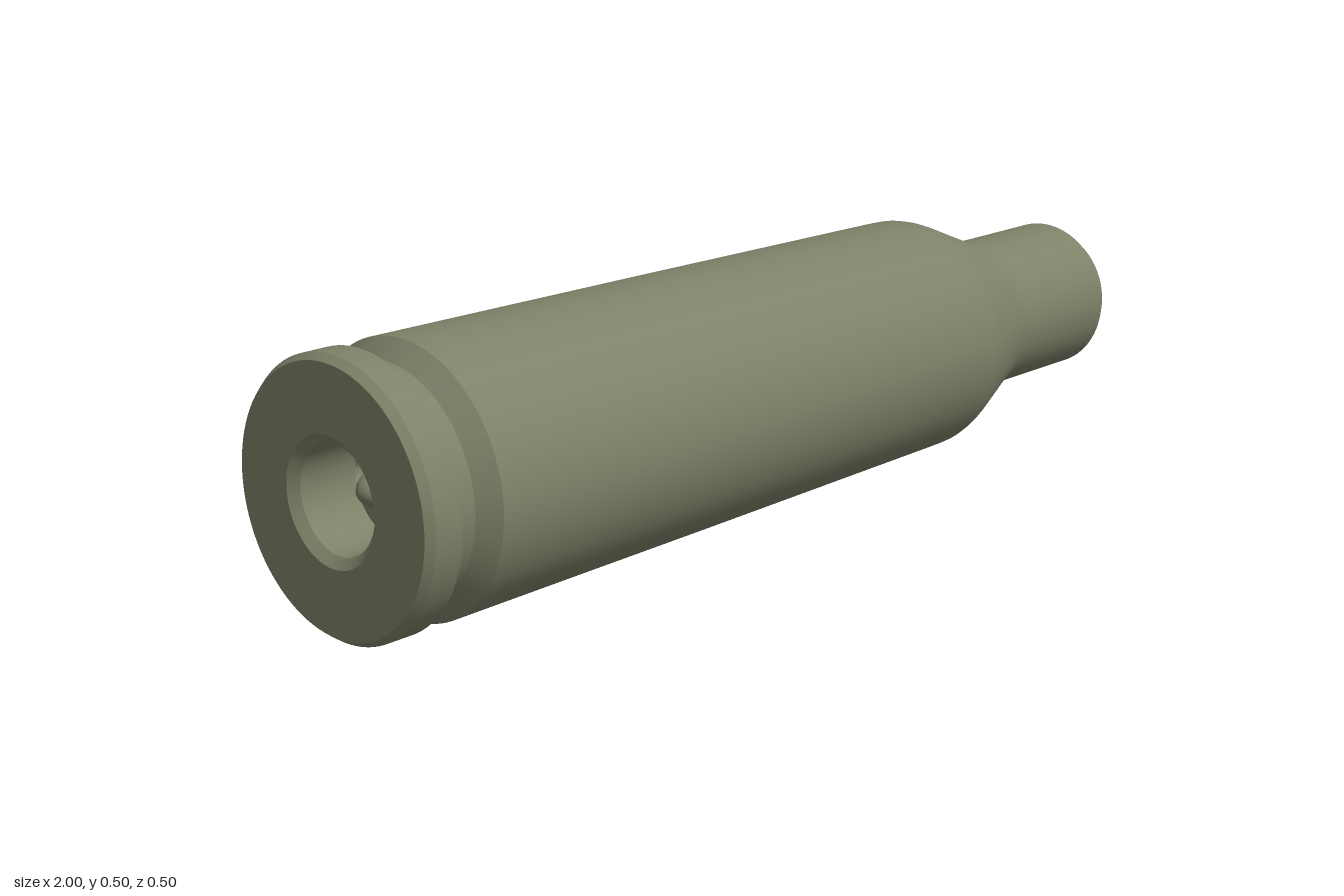
import * as THREE from 'three';

const AXIS_Y = 0.249;   // height of the long axis
const POCKET_X = -0.87; // floor of the rear pocket
const FLOOR_X = -0.74;  // floor of the hollow body
const SEGMENTS = 96;

export function createModel() {
  const model = new THREE.Group();
  model.name = 'bottleneckCase';
  const material = new THREE.MeshStandardMaterial({ color: 0x7c8268 });

  // Each run of [x, radius] points is smooth in itself; edges between runs stay sharp.
  function turned(name, ...runs) {
    const part = new THREE.Group();
    part.name = name;
    for (const run of runs) {
      const points = run.map(([x, r]) => new THREE.Vector2(r, x));
      const geometry = new THREE.LatheGeometry(points, SEGMENTS);
      geometry.rotateZ(-Math.PI / 2);
      const mesh = new THREE.Mesh(geometry, material);
      mesh.name = name + 'Surface';
      part.add(mesh);
    }
    part.position.y = AXIS_Y;
    model.add(part);
  }

  // Rear face, chamfered rim and extractor groove
  turned('rim',
    [[-1, 0.115], [-1, 0.237]],
    [[-1, 0.237], [-0.985, 0.248]],
    [[-0.985, 0.248], [-0.93, 0.248]],
    [[-0.93, 0.248], [-0.93, 0.215]]);
  turned('groove',
    [[-0.93, 0.215], [-0.875, 0.215]],
    [[-0.875, 0.215], [-0.843, 0.248]]);

  // Tapered body, softly blended shoulder and neck
  turned('body', [
    [-0.843, 0.248], [-0.2, 0.2435], [0.46, 0.2375], [0.485, 0.2365], [0.505, 0.232], [0.525, 0.225],
    [0.66, 0.171], [0.68, 0.164], [0.695, 0.159], [0.715, 0.156], [0.74, 0.1555], [0.975, 0.1555],
  ]);

  // Stepped lip around the open mouth
  turned('mouthLip',
    [[0.975, 0.1555], [0.975, 0.14]],
    [[0.975, 0.14], [1, 0.14]],
    [[1, 0.14], [1, 0.136]]);

  // Hollow interior, following the outside with a thicker wall near the base
  turned('innerWall', [
    [1, 0.136], [0.74, 0.136], [0.7, 0.138], [0.66, 0.15], [0.52, 0.206],
    [0.49, 0.215], [0.45, 0.217], [-0.4, 0.21], [-0.66, 0.2], [FLOOR_X, 0.19],
  ]);

  // Rear pocket with a chamfered entry; the ledge backs the flash holes
  turned('pocket',
    [[POCKET_X, 0.097], [-0.985, 0.097]],
    [[-0.985, 0.097], [-1, 0.115]],
    [[POCKET_X + 0.001, 0.11], [POCKET_X + 0.001, 0.097]]);

  // Web between pocket and hollow, pierced by two flash holes and the dimple
  const disc = new THREE.Shape().absarc(0, 0, 0.195, 0, Math.PI * 2);
  for (const [z, r] of [[-0.081, 0.026], [0, 0.04], [0.081, 0.026]]) {
    disc.holes.push(new THREE.Path().absarc(z, 0, r, 0, Math.PI * 2, true));
  }
  const webGeometry = new THREE.ExtrudeGeometry(disc, {
    depth: FLOOR_X - POCKET_X, bevelEnabled: false, curveSegments: 32,
  });
  webGeometry.rotateY(Math.PI / 2);
  const web = new THREE.Mesh(webGeometry, material);
  web.name = 'web';
  web.position.set(POCKET_X, AXIS_Y, 0);
  model.add(web);

  // Domed anvil in the pocket and the matching dimple in the floor
  const arc = (x, depth) => Array.from({ length: 9 }, (_, i) => {
    const t = (i / 8) * Math.PI / 2;
    return [x - depth * Math.cos(t), 0.04 * Math.sin(t)];
  });
  turned('anvil', arc(POCKET_X, 0.07));
  turned('dimple', arc(FLOOR_X - 0.01, 0.05).reverse());

  return model;
}
